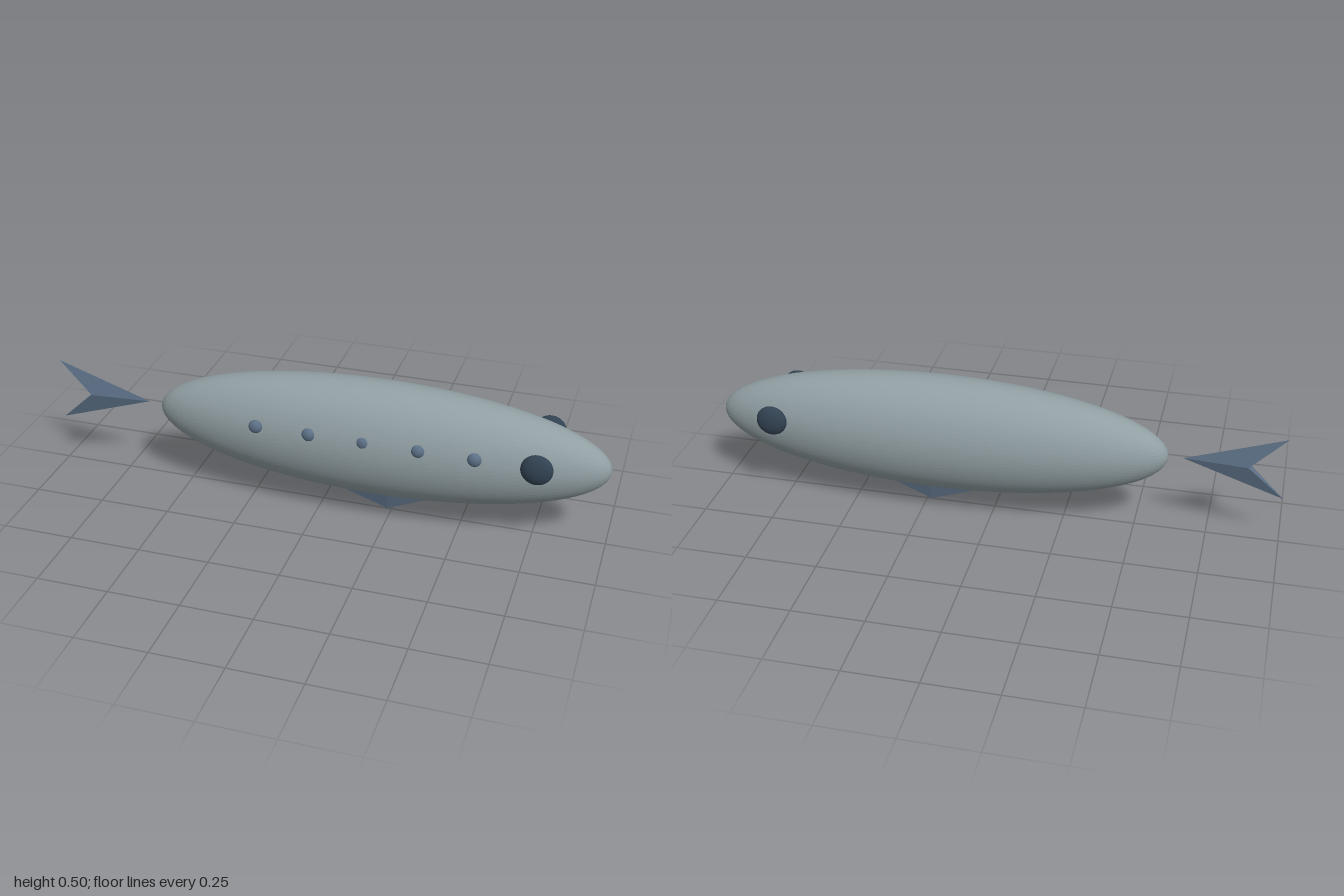
import * as THREE from 'three';

export function createModel() {
  const model = new THREE.Group();
  const material = (name, color, extra = {}) => {
    const m = new THREE.MeshStandardMaterial({ color, flatShading: true, ...extra });
    m.name = name;
    return m;
  };
  const hull = material('pale grey', 0x919fa3);
  const steel = material('steel blue', 0x5c7086);
  const dark = material('dark slate', 0x324252);

  // Faceted ellipsoid
  function ellipsoid(name, mat, detail, radii, position) {
    const geometry = new THREE.IcosahedronGeometry(1, detail).scale(...radii);
    const mesh = new THREE.Mesh(geometry, mat);
    mesh.name = name;
    mesh.position.set(...position);
    model.add(mesh);
  }

  // Tetrahedral fin: two points on the centre plane and a ridge pair at +z and -z
  function fin(name, a, b, ridge, halfWidth) {
    const p = [[...a, 0], [...b, 0], [...ridge, halfWidth], [...ridge, -halfWidth]];
    const faces = [[0, 1, 2], [1, 0, 3], [0, 2, 3], [1, 3, 2]];
    const geometry = new THREE.BufferGeometry();
    geometry.setAttribute('position',
      new THREE.Float32BufferAttribute(faces.flat().flatMap((i) => p[i]), 3));
    geometry.computeVertexNormals();
    const mesh = new THREE.Mesh(geometry, steel);
    mesh.name = name;
    model.add(mesh);
  }

  // Long body
  ellipsoid('body', hull, 15, [0.8, 0.21, 0.16], [0.195, 0.285, 0]);

  // Eyes on both sides
  for (const side of [1, -1]) {
    ellipsoid(side > 0 ? 'frontEye' : 'backEye', dark, 7,
      [0.054, 0.054, 0.026], [0.765, 0.331, side * 0.14]);
  }

  // Row of studs on one flank
  for (let i = 0; i < 5; i++) {
    ellipsoid('stud' + (i + 1), steel, 4, [0.024, 0.024, 0.016], [-0.2 + i * 0.19, 0.336, 0.145]);
  }

  // Forked tail, set apart from the body
  const tip = [-0.655, 0.287], notch = [-0.875, 0.287];
  fin('upperTailLobe', tip, [-1, 0.402], notch, 0.018);
  fin('lowerTailLobe', [-1, 0.172], tip, notch, 0.018);

  // Belly fin: its two halves meet at the bottom point
  const keel = [0.235, 0], root = [0.235, 0.11];
  fin('rearBellyFin', [-0.09, 0.11], keel, root, 0.026);
  fin('frontBellyFin', keel, [0.49, 0.11], root, 0.026);

  return model;
}
